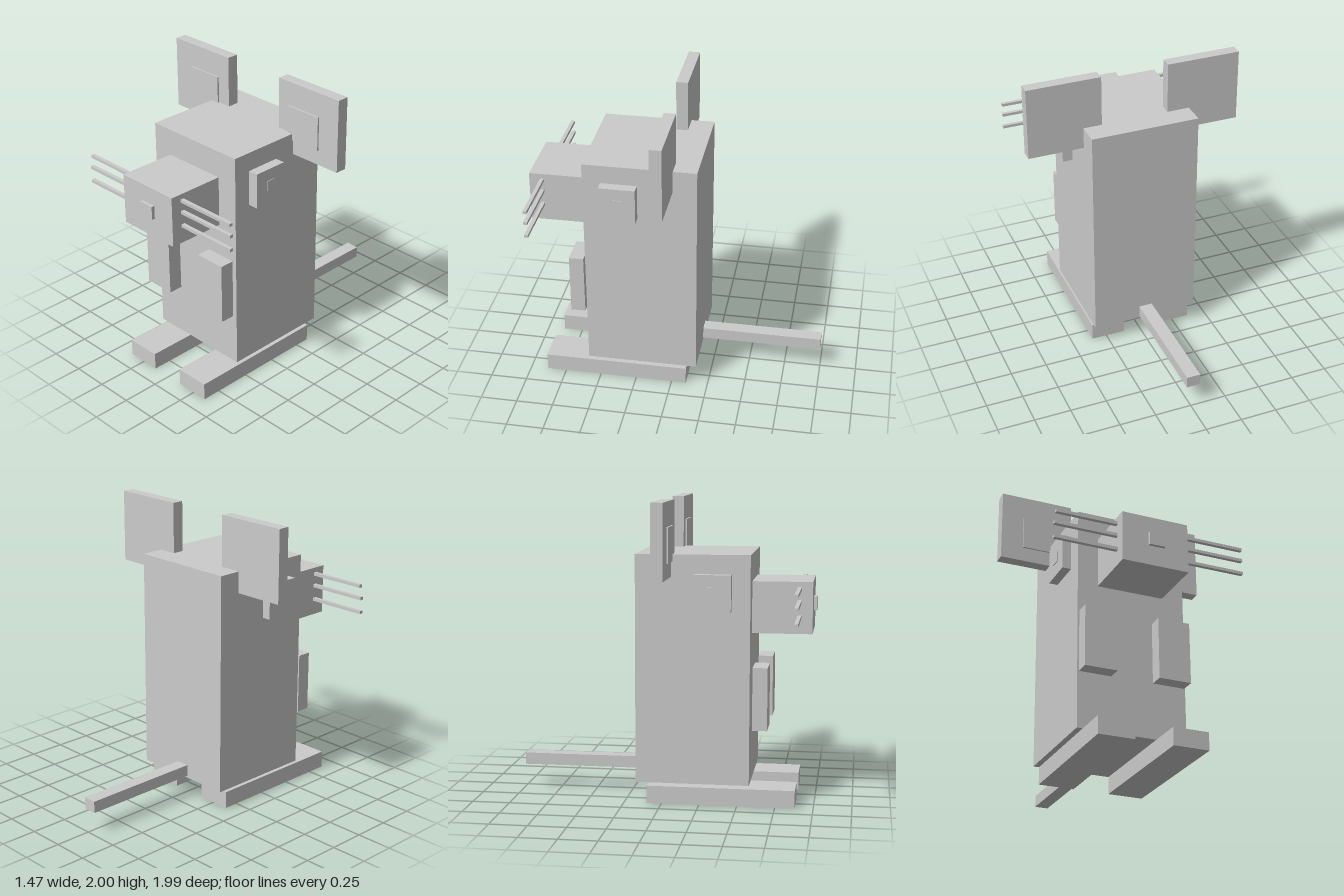
import * as THREE from 'three';

export function createModel() {
  const model = new THREE.Group();
  const material = new THREE.MeshStandardMaterial({ color: 0xcccccc, flatShading: true });

  // Box given by its [min, max] extent on each axis
  function block(name, [x0, x1], [y0, y1], [z0, z1]) {
    const mesh = new THREE.Mesh(new THREE.BoxGeometry(x1 - x0, y1 - y0, z1 - z0), material);
    mesh.position.set((x0 + x1) / 2, (y0 + y1) / 2, (z0 + z1) / 2);
    mesh.name = name;
    model.add(mesh);
  }

  // Body and tail
  block('body', [-0.385, 0.355], [0.145, 1.655], [-0.17, 0.58]);
  block('tail', [-0.065, 0.028], [0.16, 0.24], [-0.995, -0.17]);

  // Snout and nose
  block('snout', [-0.247, 0.205], [1.135, 1.475], [0.58, 0.973]);
  block('nose', [-0.07, 0.04], [1.27, 1.36], [0.973, 0.995]);

  // Ears with raised inner panels
  block('rightEar', [-0.735, -0.232], [1.51, 2], [-0.013, 0.066]);
  block('leftEar', [0.228, 0.732], [1.51, 2], [-0.013, 0.066]);
  block('rightInnerEar', [-0.582, -0.327], [1.61, 1.84], [0.06, 0.077]);
  block('leftInnerEar', [0.316, 0.574], [1.61, 1.84], [0.06, 0.077]);

  // Eyes on the sides of the head, with thin pupils
  block('rightEye', [-0.445, -0.385], [1.29, 1.53], [0.22, 0.46]);
  block('leftEye', [0.355, 0.424], [1.29, 1.53], [0.22, 0.46]);
  block('rightPupil', [-0.45, -0.44], [1.38, 1.45], [0.3, 0.375]);
  block('leftPupil', [0.42, 0.428], [1.38, 1.45], [0.3, 0.365]);

  // Three whiskers each side of the snout
  const rightWhiskers = [[1.43, -0.66], [1.345, -0.672], [1.246, -0.672]];
  const leftWhiskers = [[1.43, 0.636], [1.35, 0.636], [1.256, 0.636]];
  for (const [y, tip] of rightWhiskers)
    block('rightWhisker', [tip, -0.24], [y - 0.011, y + 0.011], [0.875, 0.9]);
  for (const [y, tip] of leftWhiskers)
    block('leftWhisker', [0.2, tip], [y - 0.01, y + 0.01], [0.875, 0.9]);

  // Arms, held just off the chest
  block('rightArm', [-0.38, -0.163], [0.513, 0.927], [0.597, 0.695]);
  block('leftArm', [0.122, 0.34], [0.513, 0.927], [0.597, 0.695]);

  // Long flat feet
  block('rightFoot', [-0.372, -0.132], [0, 0.118], [-0.1, 0.88]);
  block('leftFoot', [0.116, 0.355], [0, 0.118], [-0.1, 0.88]);

  return model;
}
